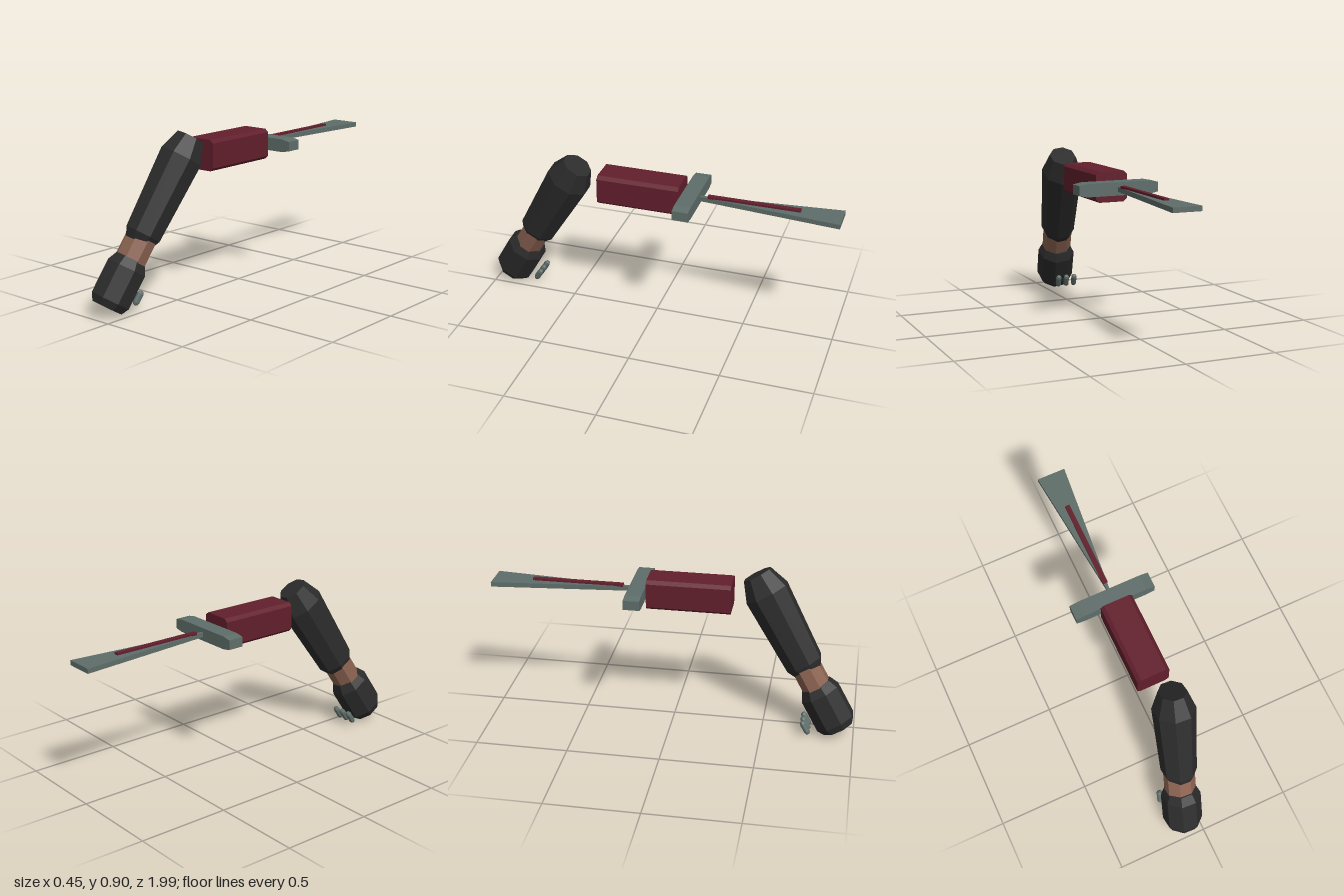
import * as THREE from 'three';

const black = new THREE.MeshStandardMaterial({ color: 0x2b2b2b });
black.name = 'black cloth';
const skin = new THREE.MeshStandardMaterial({ color: 0x8a6250 });
skin.name = 'brown skin';
const red = new THREE.MeshStandardMaterial({ color: 0x621f2c });
red.name = 'dark red';
const grey = new THREE.MeshStandardMaterial({ color: 0x5f6e6a });
grey.name = 'grey metal';

function part(name, geometry, material) {
  const flat = geometry.index ? geometry.toNonIndexed() : geometry;
  flat.computeVertexNormals();
  const mesh = new THREE.Mesh(flat, material);
  mesh.name = name;
  return mesh;
}

// Closed eight-sided limb; rings are [distance down the arm, radius]
function limb(name, rings, sx, sz, material) {
  const pts = rings.map(([t, r]) => new THREE.Vector2(r, -t));
  pts.unshift(new THREE.Vector2(0, -rings[0][0]));
  pts.push(new THREE.Vector2(0, -rings[rings.length - 1][0]));
  const geo = new THREE.LatheGeometry(pts.reverse(), 8, Math.PI / 8);
  geo.scale(sx, 1, sz);
  return part(name, geo, material);
}

// Outline in x,y extruded from z0 to z1
function prism(name, outline, z0, z1, material) {
  const shape = new THREE.Shape(outline.map(([x, y]) => new THREE.Vector2(x, y)));
  const geo = new THREE.ExtrudeGeometry(shape, { depth: z1 - z0, bevelEnabled: false });
  geo.translate(0, 0, z0);
  return part(name, geo, material);
}

// Rectangle with cut corners
function cutRect(w, y0, y1, cx, cy) {
  return [[-w + cx, y0], [w - cx, y0], [w, y0 + cy], [w, y1 - cy],
    [w - cx, y1], [-w + cx, y1], [-w, y1 - cy], [-w, y0 + cy]];
}

export function createModel() {
  const model = new THREE.Group();
  model.name = 'armAndBlade';

  // Arm, built hanging down and then tilted
  const arm = new THREE.Group();
  arm.name = 'arm';
  const direction = new THREE.Vector3(-0.135, -0.815, 0.485).normalize();
  arm.position.set(0.045, 0.865, 0.435);
  arm.quaternion.setFromUnitVectors(new THREE.Vector3(0, -1, 0), direction);
  arm.add(
    limb('sleeve', [[0, 0.082], [0.113, 0.126], [0.548, 0.106], [0.593, 0.082]], 0.9, 1, black),
    limb('wrist', [[0.52, 0.081], [0.8, 0.081]], 1.06, 1, skin),
    limb('glove', [[0.685, 0.088], [0.735, 0.114], [0.918, 0.114], [0.957, 0.09]], 0.94, 1, black)
  );
  model.add(arm);

  // Three studs behind the glove
  for (let i = -1; i <= 1; i++) {
    const stud = part('knuckleStud', new THREE.CapsuleGeometry(0.017, 0.05, 2, 8), grey);
    stud.position.set(-0.097 + i * 0.05, 0.064, 0.74);
    stud.quaternion.copy(arm.quaternion);
    model.add(stud);
  }

  // Grip and crossguard
  model.add(prism('grip', cutRect(0.09, 0.672, 0.838, 0.02, 0.017), -0.142, 0.312, red));
  model.add(prism('crossguard', cutRect(0.227, 0.72, 0.79, 0.048, 0.009), -0.238, -0.15, grey));

  // Blade widens toward its tip
  const blade = new THREE.BoxGeometry(1, 0.026, 0.765);
  const p = blade.attributes.position;
  for (let i = 0; i < p.count; i++) p.setX(i, p.getX(i) * (p.getZ(i) < 0 ? 0.158 : 0.012));
  blade.translate(0, 0.753, -0.6175);
  model.add(part('blade', blade, grey));

  // Raised strip along the top of the blade
  const strip = new THREE.BoxGeometry(0.027, 0.014, 0.5);
  strip.translate(0, 0.77, -0.532);
  model.add(part('bladeStrip', strip, red));

  return model;
}
